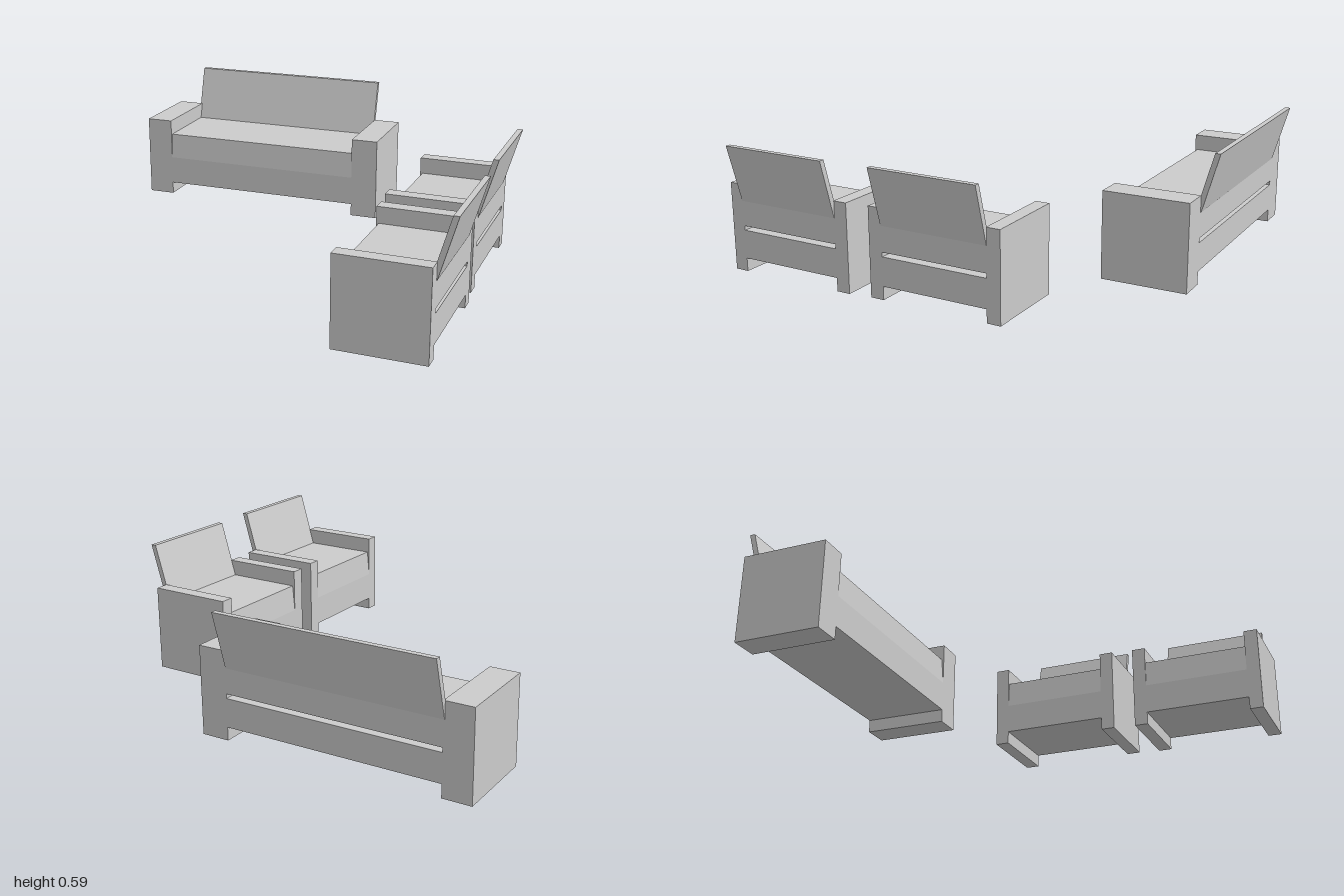
import * as THREE from 'three';

const material = new THREE.MeshStandardMaterial({ color: 0xcccccc, flatShading: true });
const HALF_DEPTH = 0.198;
const ARM_HEIGHT = 0.4;

function addMesh(group, geometry, name) {
  const mesh = new THREE.Mesh(geometry, material);
  mesh.name = name;
  group.add(mesh);
  return mesh;
}

// Sweep a side profile of [z, y] points along x, centred on x = 0.
function sweepProfile(points, width) {
  const shape = new THREE.Shape(points.map(([z, y]) => new THREE.Vector2(-z, y)));
  const geometry = new THREE.ExtrudeGeometry(shape, { depth: width, bevelEnabled: false });
  return geometry.translate(0, 0, -width / 2).rotateY(Math.PI / 2);
}

// One seat facing +z: two slab arms, a seat block and a leaning back board.
function createSeat(name, width, armWidth) {
  const seat = new THREE.Group();
  seat.name = name;
  const inner = width - 2 * armWidth;

  // Arms reach the floor and double as legs
  for (const side of [-1, 1]) {
    const arm = addMesh(seat, new THREE.BoxGeometry(armWidth, ARM_HEIGHT, HALF_DEPTH * 2),
      side > 0 ? 'leftArm' : 'rightArm');
    arm.position.set(side * (width - armWidth) / 2, ARM_HEIGHT / 2, 0);
  }

  // Seat block with a tapering slot open at the rear
  addMesh(seat, sweepProfile([
    [HALF_DEPTH, 0.06], [HALF_DEPTH, 0.2], [0.187, 0.325], [-HALF_DEPTH, 0.325],
    [-HALF_DEPTH, 0.21], [0.16, 0.191], [-HALF_DEPTH, 0.19], [-HALF_DEPTH, 0.06],
  ], inner), 'seatBase');

  // Thin back board leaning backwards
  addMesh(seat, sweepProfile([
    [-0.175, 0.325], [-0.25, 0.588], [-0.275, 0.588], [-0.2, 0.325],
  ], inner + 0.005), 'backrest');
  return seat;
}

export function createModel() {
  const model = new THREE.Group();
  model.name = 'loungeSet';

  const sofa = createSeat('sofa', 1.26, 0.13);
  sofa.position.set(-0.37, 0, -0.705);
  sofa.getObjectByName('backrest').position.x = -0.005;
  model.add(sofa);

  // Two matching armchairs turned towards -x
  [-0.075, 0.655].forEach((z, i) => {
    const chair = createSeat(`armchair${i + 1}`, 0.628, 0.064);
    chair.position.set(0.722, 0, z);
    chair.rotation.y = -Math.PI / 2 - 0.02;
    model.add(chair);
  });
  return model;
}
